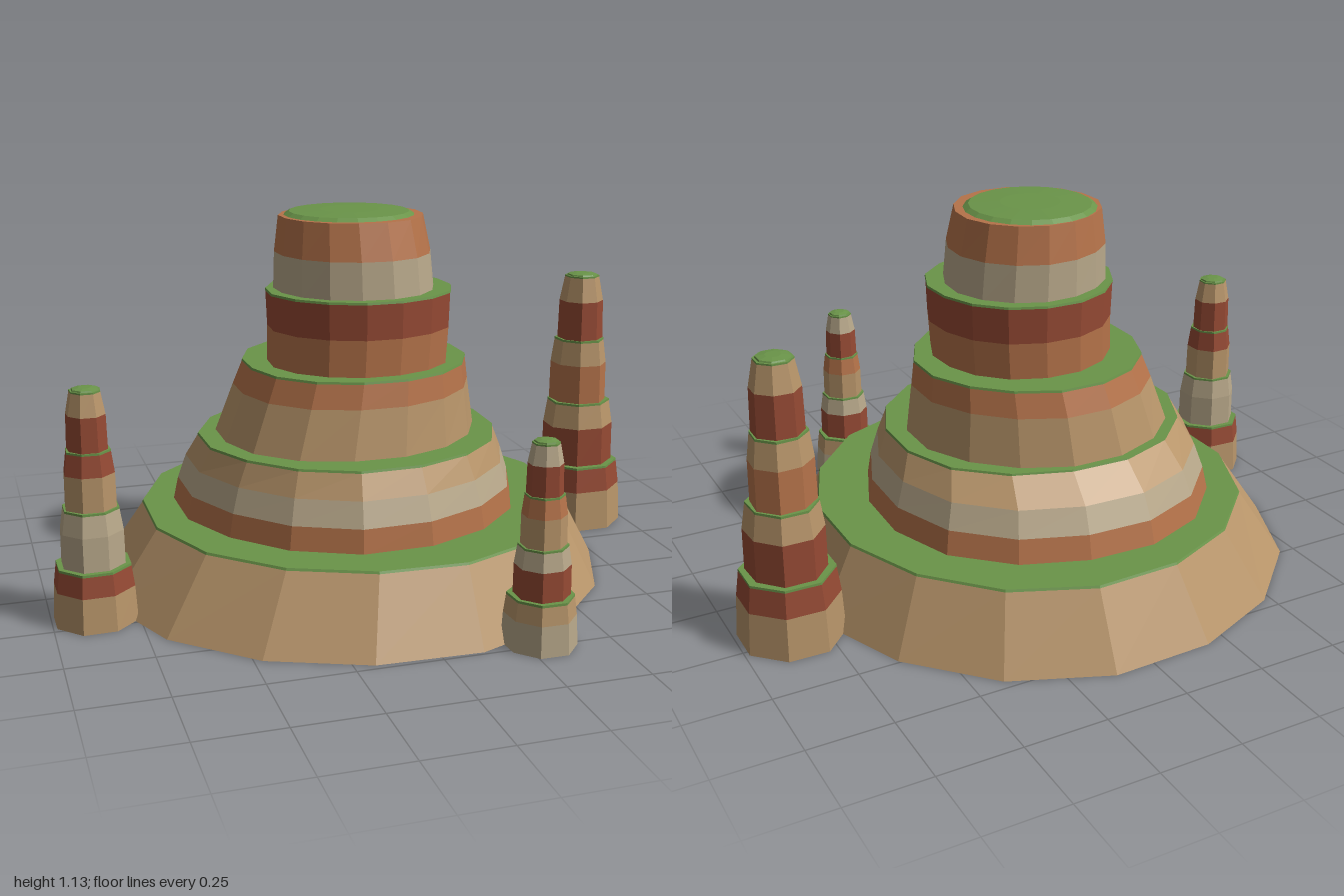
import * as THREE from 'three';

const paint = (color) => new THREE.MeshStandardMaterial({ color, flatShading: true });

// Irregular rock outline: a small wobble that varies with angle and seed
const wobble = (a, seed, amount) =>
  1 + amount * (Math.sin(3 * a + seed * 1.7) + 0.6 * Math.sin(5 * a + seed * 2.9));

// A slab between two rings; ring = [y, centreX, centreZ, radiusX, radiusZ]
function slab(name, low, high, sides, material, seed, amount, closed) {
  const geo = new THREE.CylinderGeometry(1, 1, 1, sides, 1, !closed);
  const p = geo.attributes.position;
  for (let i = 0; i < p.count; i++) {
    const [y, cx, cz, rx, rz] = p.getY(i) > 0 ? high : low;
    const x = p.getX(i), z = p.getZ(i);
    const onRim = Math.hypot(x, z) > 0.5;
    const a = Math.atan2(x, z) + Math.PI / sides; // half a step, so a side faces front
    const w = onRim ? wobble(a, seed, amount) : 0;
    p.setXYZ(i, cx + Math.sin(a) * rx * w, y, cz + Math.cos(a) * rz * w);
  }
  geo.computeVertexNormals();
  const mesh = new THREE.Mesh(geo, material);
  mesh.name = name;
  return mesh;
}

// One terrace: coloured rock bands between successive rings, with grass on top
function terrace(name, rings, bands, sides, mats, seed, amount) {
  const group = new THREE.Group();
  group.name = name;
  bands.forEach((band, i) => group.add(
    slab(band + 'Band', rings[i], rings[i + 1], sides, mats[band], seed, amount, true)));
  const top = rings[rings.length - 1];
  const lip = [top[0] - 0.003, ...top.slice(1, 3), top[3] * 1.005, top[4] * 1.005];
  const cap = [top[0] + 0.004, ...top.slice(1)];
  group.add(slab('grassLedge', lip, cap, sides, mats.grass, seed, amount, true));
  return group;
}

// Low domed grass on the very top
function grassDome(y, cx, cz, r, height, sides, mats) {
  const group = new THREE.Group();
  group.name = 'grassDome';
  const ring = (t, k) => [y + height * t, cx, cz, r * k, r * k];
  group.add(slab('domeEdge', ring(0, 1), ring(0.7, 0.92), sides, mats.grass, 0, 0, true));
  group.add(slab('domeCrown', ring(0.7, 0.92), ring(1, 0.45), sides, mats.grass, 0, 0, true));
  return group;
}

// A slim four-tier rock spire; bands = per tier [lower, upper] colours
function spire(name, x, z, radius, height, bands, seed, mats) {
  const group = new THREE.Group();
  group.name = name;
  const step = height / 4;
  const widths = [[1, 0.95, 0.88], [0.75, 0.74, 0.66], [0.6, 0.59, 0.52], [0.48, 0.46, 0.36]];
  widths.forEach((w, t) => {
    const rings = w.map((k, i) => {
      const r = radius * k;
      return [(t + [0, 0.62, 1][i]) * step, x, z, r, r];
    });
    group.add(terrace('spireTier' + (t + 1), rings, bands[t], 8, mats, seed + t, 0.02));
  });
  group.add(grassDome(height, x, z, radius * 0.33, 0.012, 8, mats));
  return group;
}

export function createModel() {
  const model = new THREE.Group();
  model.name = 'terracedButte';
  const mats = {
    tan: paint(0xb8956a), orange: paint(0xb5734a), pale: paint(0xb8a88a),
    red: paint(0x964a34), grass: paint(0x6a9449),
  };

  // Central butte, five stacked terraces
  const butte = new THREE.Group();
  butte.name = 'butte';
  const tiers = [
    { bands: ['tan'], rings: [
      [0, -0.035, -0.05, 0.8, 0.8], [0.22, -0.015, -0.05, 0.665, 0.685]] },
    { bands: ['orange', 'pale', 'tan'], rings: [
      [0.22, -0.04, -0.065, 0.54, 0.55], [0.295, -0.04, -0.06, 0.525, 0.535],
      [0.37, -0.04, -0.055, 0.5, 0.505], [0.445, -0.04, -0.03, 0.465, 0.445]] },
    { bands: ['tan', 'orange'], rings: [
      [0.445, -0.045, -0.06, 0.41, 0.39], [0.595, -0.025, -0.06, 0.37, 0.365],
      [0.67, -0.015, -0.055, 0.35, 0.345]] },
    { bands: ['orange', 'red'], rings: [
      [0.67, -0.01, -0.03, 0.28, 0.27], [0.785, -0.005, -0.03, 0.283, 0.273],
      [0.895, -0.005, -0.03, 0.287, 0.277]] },
    { bands: ['pale', 'orange'], rings: [
      [0.895, -0.015, -0.032, 0.248, 0.244], [1.01, -0.018, -0.035, 0.24, 0.24],
      [1.12, -0.022, -0.04, 0.222, 0.218]] },
  ];
  tiers.forEach(({ rings, bands }, t) => {
    const tier = terrace('terrace' + (t + 1), rings, bands, 16, mats, t, t ? 0.012 : 0.006);
    // The summit keeps a bare rock rim around its grass dome
    if (t === 4) tier.remove(tier.getObjectByName('grassLedge'));
    butte.add(tier);
  });
  butte.add(grassDome(1.12, -0.028, -0.05, 0.2, 0.015, 20, mats));
  model.add(butte);

  // Three spires standing around the foot
  model.add(spire('leftSpire', 0.84, -0.21, 0.158, 0.855,
    [['tan', 'red'], ['red', 'tan'], ['orange', 'tan'], ['red', 'tan']], 2, mats));
  model.add(spire('rightSpire', -0.873, 0.182, 0.127, 0.685,
    [['tan', 'red'], ['pale', 'pale'], ['tan', 'red'], ['red', 'tan']], 5, mats));
  model.add(spire('frontSpire', 0.295, 0.725, 0.108, 0.585,
    [['pale', 'tan'], ['red', 'pale'], ['tan', 'orange'], ['red', 'pale']], 8, mats));
  return model;
}
